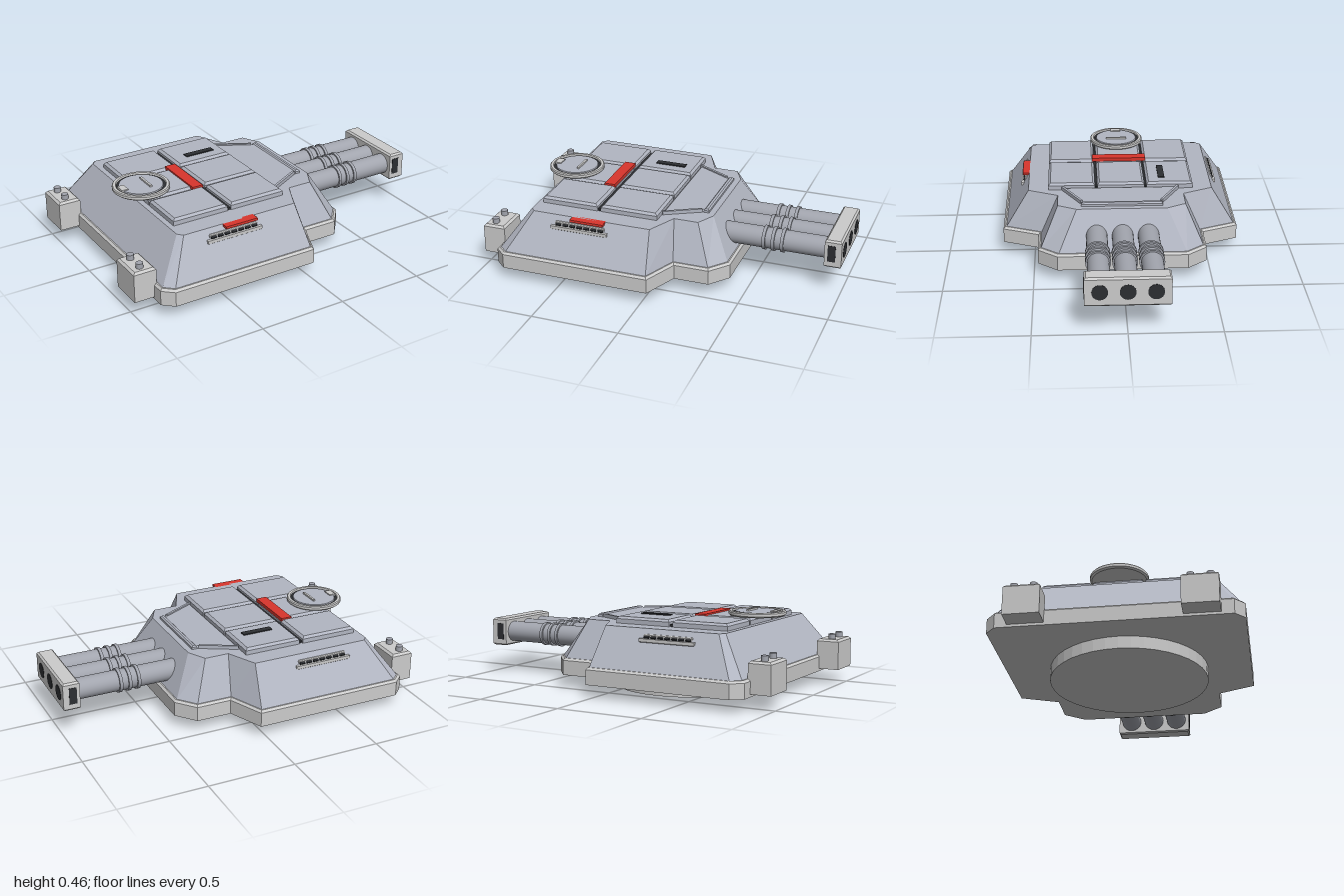
import * as THREE from 'three';

const mat = (color) => new THREE.MeshStandardMaterial({ color, flatShading: true });
const grey = mat(0xcccccc), armour = mat(0xb2b6c2), steel = mat(0xa2a5ae);
const dark = mat(0x2c2e32), red = mat(0xd8352c);
const smoothSteel = new THREE.MeshStandardMaterial({ color: 0xa2a5ae });

// Mirrors a half outline of [x, z] points (back to front, z > 0) into a full loop
const mirrored = (half) => [...half, ...half.map(([x, z]) => [x, -z]).reverse()];
const rect = (x0, x1, z0, z1) => [[x0, z1], [x1, z1], [x1, z0], [x0, z0]];

// Moves every edge of a loop inward by d
function inset(loop, d) {
  const n = loop.length;
  return loop.map(([x, z], i) => {
    const [ax, az] = loop[(i + n - 1) % n], [bx, bz] = loop[(i + 1) % n];
    const l1 = Math.hypot(x - ax, z - az), l2 = Math.hypot(bx - x, bz - z);
    const n1 = [(z - az) / l1, -(x - ax) / l1], n2 = [(bz - z) / l2, -(bx - x) / l2];
    const k = d / (1 + n1[0] * n2[0] + n1[1] * n2[1]);
    return [x + (n1[0] + n2[0]) * k, z + (n1[1] + n2[1]) * k];
  });
}

// Closed solid from stacked loops: levels = [[y, loop], ...]
function loft(levels) {
  const pos = [], n = levels[0][1].length;
  const put = (y, [x, z]) => pos.push(x, y, z);
  for (let k = 0; k + 1 < levels.length; k++) {
    const [y0, a] = levels[k], [y1, b] = levels[k + 1];
    for (let i = 0; i < n; i++) {
      const j = (i + 1) % n;
      put(y0, a[i]); put(y0, a[j]); put(y1, b[j]);
      put(y0, a[i]); put(y1, b[j]); put(y1, b[i]);
    }
  }
  const cap = ([y, loop], up) => {
    const pts = loop.map(([x, z]) => new THREE.Vector2(x, -z));
    for (const f of THREE.ShapeUtils.triangulateShape(pts, [])) {
      for (const i of up ? f : [f[0], f[2], f[1]]) put(y, loop[i]);
    }
  };
  cap(levels[0], false);
  cap(levels[levels.length - 1], true);
  const g = new THREE.BufferGeometry();
  g.setAttribute('position', new THREE.Float32BufferAttribute(pos, 3));
  g.computeVertexNormals();
  return g;
}

// Slab with a bevelled upper edge
const slab = (loop, y0, y1, b) => loft([[y0, loop], [y1 - b, loop], [y1, inset(loop, b)]]);

export function createModel() {
  const root = new THREE.Group();
  const add = (name, geometry, material, x = 0, y = 0, z = 0) => {
    const m = new THREE.Mesh(geometry, material);
    m.name = name;
    m.position.set(x, y, z);
    root.add(m);
    return m;
  };
  // Box given by its limits
  const block = (name, material, x0, x1, y0, y1, z0, z1) =>
    add(name, new THREE.BoxGeometry(x1 - x0, y1 - y0, z1 - z0), material,
      (x0 + x1) / 2, (y0 + y1) / 2, (z0 + z1) / 2);

  // Turret ring
  add('turretRing', new THREE.CylinderGeometry(0.44, 0.44, 0.08, 40), grey, -0.263, 0.04, 0);

  // Skirt and sloped hull
  const skirt = mirrored([[-0.885, 0.625], [-0.825, 0.68], [0.035, 0.68], [0.12, 0.475], [0.32, 0.475], [0.41, 0.365]]);
  const roof = mirrored([[-0.715, 0.5], [-0.69, 0.53], [0, 0.53], [0.08, 0.36], [0.22, 0.36], [0.275, 0.255]]);
  add('skirt', slab(skirt, 0.07, 0.165, 0.012), grey);
  add('hull', loft([[0.16, inset(skirt, 0.016)], [0.38, roof]]), armour);

  // Roof panels over a dark bed that shows in the gaps
  block('panelBed', dark, -0.675, -0.01, 0.375, 0.392, -0.41, 0.41);
  for (const [x0, x1] of [[-0.685, -0.355], [-0.333, 0]]) {
    for (const [z0, z1] of [[-0.42, -0.152], [-0.14, 0.132], [0.146, 0.415]]) {
      add('roofPanel', slab(rect(x0, x1, z0, z1), 0.38, 0.418, 0.013), armour);
    }
  }
  block('roofSlot', dark, -0.245, -0.065, 0.41, 0.424, -0.26, -0.223);
  block('roofMarker', red, -0.42, -0.357, 0.405, 0.427, -0.165, 0.155);

  // Nose plate with a raised rim
  const nose = mirrored([[0, 0.335], [0.195, 0.23], [0.24, 0.23]]);
  add('nosePlate', slab(nose, 0.37, 0.393, 0.01), armour);
  add('noseRim', slab(rect(0.21, 0.24, -0.23, 0.23), 0.38, 0.4, 0.008), armour);
  for (const s of [-1, 1]) {
    const bar = add('noseSideRim', new THREE.BoxGeometry(0.222, 0.02, 0.014), armour, 0.1, 0.39, s * 0.279);
    bar.rotation.y = s * Math.atan2(0.105, 0.195);
  }

  // Round hatch: bevelled rim, dark groove, lid, handle and hinge
  const hx = -0.66;
  const lathe = (pts) => new THREE.LatheGeometry(pts.map(([r, y]) => new THREE.Vector2(r, y)), 40);
  add('hatchRim', lathe([[0, 0.42], [0.15, 0.42], [0.16, 0.428], [0.16, 0.442], [0.155, 0.448], [0.14, 0.448], [0.136, 0.436], [0, 0.436]]), grey, hx);
  add('hatchGroove', new THREE.CylinderGeometry(0.138, 0.138, 0.004, 40), dark, hx, 0.437, 0);
  add('hatchLid', new THREE.CylinderGeometry(0.122, 0.126, 0.014, 40), armour, hx, 0.439, 0);
  block('hatchHandle', grey, -0.635, -0.622, 0.44, 0.456, -0.062, 0.062);
  block('hatchHinge', grey, -0.79, -0.752, 0.43, 0.452, -0.03, 0.03);

  // Side vents: ledge, top bar and a row of dark openings
  for (const s of [-1, 1]) {
    const side = s > 0 ? 'left' : 'right';
    const span = (x0, x1, a, b) => rect(x0, x1, Math.min(s * a, s * b), Math.max(s * a, s * b));
    add(side + 'VentLedge', loft([[0.303, span(-0.55, -0.255, 0.54, 0.565)], [0.313, span(-0.57, -0.235, 0.54, 0.578)],
      [0.33, span(-0.57, -0.235, 0.53, 0.578)]]), grey);
    add(side + 'VentBar', slab(span(-0.55, -0.255, 0.51, 0.558), 0.33, 0.352, 0.005), grey);
    for (let i = 0; i < 7; i++) {
      const vent = add(side + 'Vent', new THREE.BoxGeometry(0.03, 0.012, 0.012), dark, -0.528 + i * 0.042, 0.335, s * 0.561);
      vent.rotation.x = s * 0.5;
    }
  }
  block('sideMarker', red, -0.455, -0.26, 0.366, 0.38, 0.517, 0.57);

  // Rear brackets with bolts
  for (const s of [-1, 1]) {
    const zc = s * 0.46;
    const base = rect(-1, -0.87, zc - 0.098, zc + 0.098);
    add('rearBracket', slab(base, 0.085, 0.257, 0.012), grey);
    for (const dz of [-0.052, 0.052]) {
      add('bracketBolt', new THREE.CylinderGeometry(0.02, 0.02, 0.035, 16), steel, -0.943, 0.268, zc + dz);
    }
  }

  // Three barrels with cooling rings, joined by a muzzle block
  const tube = (name, r, x0, x1, y, z, material, sides = 32) => {
    const m = add(name, new THREE.CylinderGeometry(r, r, x1 - x0, sides), material, (x0 + x1) / 2, y, z);
    m.rotation.z = -Math.PI / 2;
  };
  for (const z of [-0.145, 0, 0.145]) {
    tube('barrel', 0.06, 0.2, 0.92, 0.242, z, smoothSteel);
    for (const x of [0.55, 0.603, 0.656]) tube('barrelRing', 0.069, x - 0.009, x + 0.009, 0.242, z, smoothSteel);
    tube('muzzleBore', 0.043, 0.95, 1.0, 0.243, z, dark);
  }
  const face = rect(0.902, 0.998, -0.226, 0.226);
  add('muzzleBlock', loft([[0.162, inset(face, 0.008)], [0.17, face], [0.315, face], [0.325, inset(face, 0.01)]]), grey);
  block('muzzleSlot', dark, 0.92, 0.964, 0.198, 0.295, -0.228, 0.228);

  return root;
}
